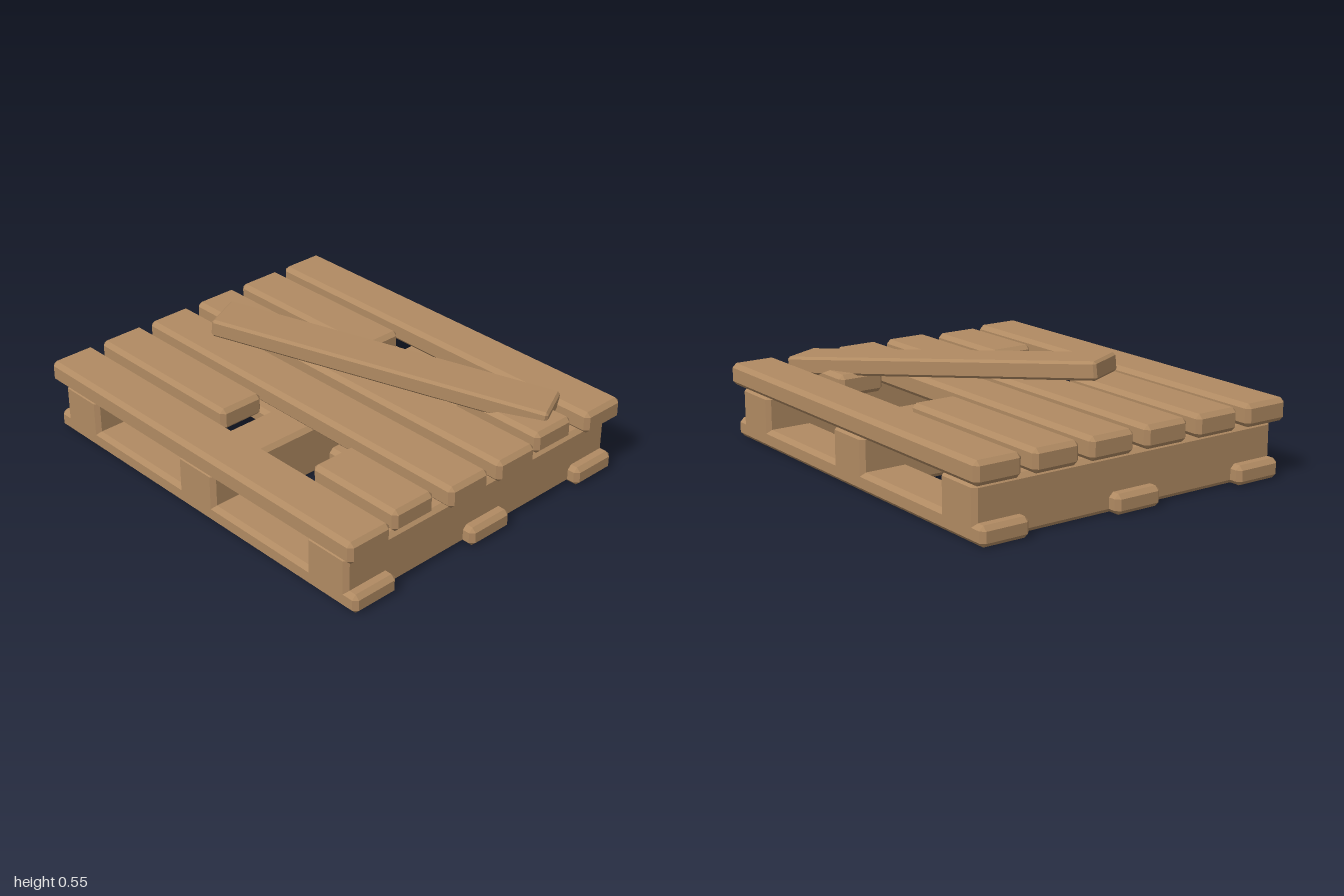
import * as THREE from 'three';
import { ConvexGeometry } from 'three/addons/geometries/ConvexGeometry.js';

// Box with 45 degree chamfers on every edge
function chamferedBox(w, h, d, c = 0.02) {
  const points = [];
  for (const sx of [-1, 1]) for (const sy of [-1, 1]) for (const sz of [-1, 1]) {
    for (let full = 0; full < 3; full++) {
      const p = [w, h, d].map((size, axis) => size / 2 - (axis === full ? 0 : c));
      points.push(new THREE.Vector3(sx * p[0], sy * p[1], sz * p[2]));
    }
  }
  return new ConvexGeometry(points);
}

export function createModel() {
  const model = new THREE.Group();
  model.name = 'brokenPallet';
  const wood = new THREE.MeshStandardMaterial({ name: 'wood', color: 0xb08a62 });

  // Adds a plank from its extents along each axis
  function plank(name, [x0, x1], [y0, y1], [z0, z1], chamfer) {
    const mesh = new THREE.Mesh(chamferedBox(x1 - x0, y1 - y0, z1 - z0, chamfer), wood);
    mesh.position.set((x0 + x1) / 2, (y0 + y1) / 2, (z0 + z1) / 2);
    mesh.name = name;
    model.add(mesh);
    return mesh;
  }

  // Bottom boards
  for (const z of [-0.68, 0, 0.68]) {
    plank('bottomBoard', [-1, 1], [0, 0.09], [z - 0.12, z + 0.12]);
  }

  // Stringers running front to back
  for (const x of [-0.825, 0, 0.825]) {
    plank('stringer', [x - 0.12, x + 0.12], [0, 0.253], [-0.8, 0.8]);
  }

  // Deck boards: three rows mirrored front to back, the middle row broken
  const deckY = [0.255, 0.36];
  for (const side of [-1, 1]) {
    for (const z of [0.145, 0.43, 0.715]) {
      const rangeZ = [side * z - 0.115, side * z + 0.115];
      if (z === 0.43) {
        plank('brokenBoardRight', [-1, -0.11], deckY, rangeZ);
        plank('brokenBoardLeft', [0.465, 0.96], deckY, rangeZ);
      } else {
        plank('deckBoard', [-1, 1], deckY, rangeZ);
      }
    }
  }

  // Loose board lying askew on top
  const loose = plank('looseBoard', [-0.8, 0.8], [-0.0425, 0.0425], [-0.11, 0.11], 0.012);
  loose.position.set(0.145, 0.431, -0.183);
  loose.rotation.set(0, 0.4525, -0.098);

  return model;
}
